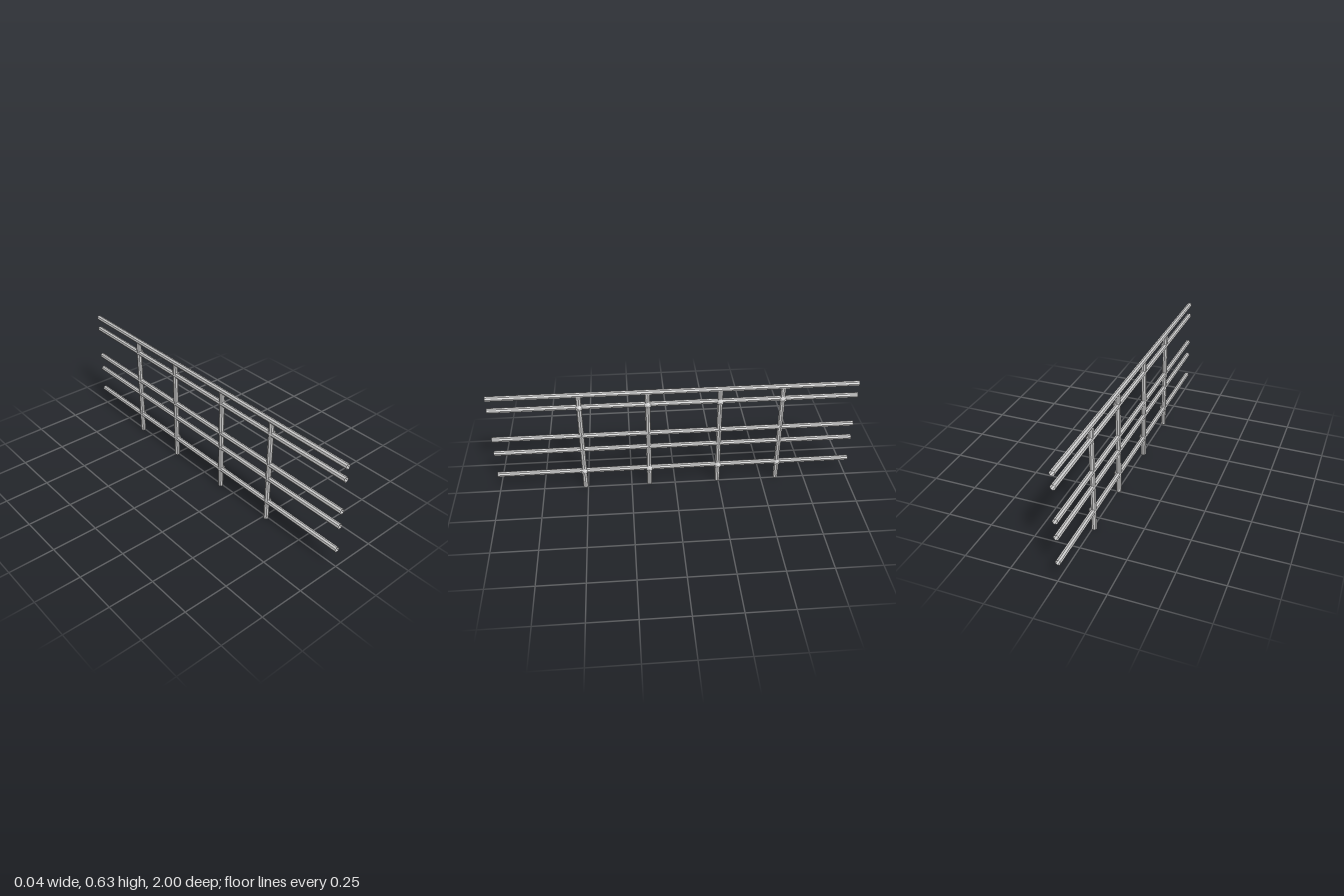
import * as THREE from 'three';

const R = 0.015;          // tube radius
const CX = -0.007;        // fence plane
const railHeights = [0.115, 0.263, 0.355, 0.543, 0.617];
const postZ = [0.515, 0.148, -0.244, -0.586];

export function createModel() {
  const group = new THREE.Group();
  const metal = new THREE.MeshStandardMaterial({
    color: 0xcccccc, flatShading: true, side: THREE.DoubleSide,
  });

  function add(name, geometry, x, y, z) {
    const mesh = new THREE.Mesh(geometry, metal);
    mesh.name = name;
    mesh.position.set(x, y, z);
    group.add(mesh);
  }

  // Open eight-sided tubes, slightly turned about their axis
  const tube = (length) =>
    new THREE.CylinderGeometry(R, R, length, 8, 1, true).rotateY(0.12);

  // Horizontal rails along z
  const railGeometry = tube(2).rotateX(Math.PI / 2);
  railHeights.forEach((y) => add('rail', railGeometry, CX, y, 0));

  // Upright posts, ending inside the top rail
  const postHeight = 0.61;
  const postGeometry = tube(postHeight);
  postZ.forEach((z) => add('post', postGeometry, CX, postHeight / 2, z));

  // Pointed faceted bolts on the +x side, at the lowest and second highest rails
  const boltProfile = [[0, -0.004], [0.02, 0.01], [0, 0.022]]
    .map(([r, h]) => new THREE.Vector2(r, h));
  const boltGeometry = new THREE.LatheGeometry(boltProfile, 6).rotateZ(-Math.PI / 2)
    .rotateX(Math.PI / 2);
  for (const z of postZ) {
    for (const y of [railHeights[0], railHeights[3]]) add('bolt', boltGeometry, 0, y, z);
  }

  return group;
}
